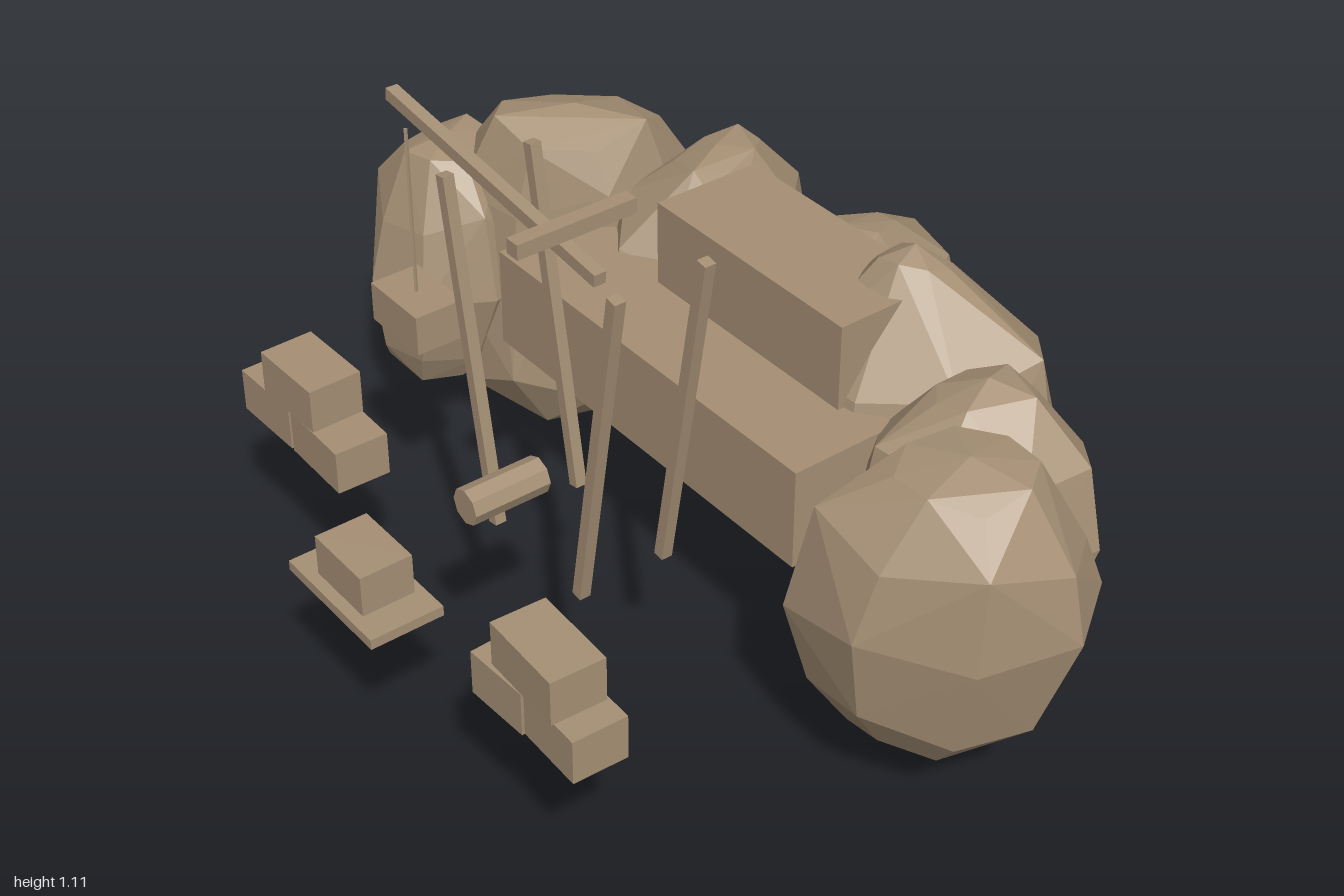
import * as THREE from 'three';
import { ConvexGeometry } from 'three/addons/geometries/ConvexGeometry.js';

const stone = new THREE.MeshStandardMaterial({ color: 0xa69075, flatShading: true, side: THREE.DoubleSide });
stone.name = 'warm stone';

function add(group, geometry, name) {
  const mesh = new THREE.Mesh(geometry, stone);
  mesh.name = name;
  group.add(mesh);
  return mesh;
}

// Box given by its limits on each axis; open ones have no bottom face
function block(group, name, [x0, x1], [y0, y1], [z0, z1], yaw = 0, open = true) {
  const g = new THREE.BoxGeometry(x1 - x0, y1 - y0, z1 - z0);
  if (open) {
    const index = Array.from(g.index.array);
    index.splice(18, 6);
    g.setIndex(index);
    g.clearGroups();
  }
  const mesh = add(group, g, name);
  mesh.position.set((x0 + x1) / 2, (y0 + y1) / 2, (z0 + z1) / 2);
  mesh.rotation.y = yaw;
}

// Square timber between two points
function timber(group, name, a, b, width) {
  const from = new THREE.Vector3(...a), to = new THREE.Vector3(...b);
  const dir = to.clone().sub(from);
  const mesh = add(group, new THREE.BoxGeometry(width, dir.length(), width), name);
  mesh.position.copy(from).add(to).multiplyScalar(0.5);
  mesh.quaternion.setFromUnitVectors(new THREE.Vector3(0, 1, 0), dir.normalize());
}

// Repeatable value from 0 to 1
function noise(n) {
  const s = Math.sin(n * 12.9898) * 43758.5453;
  return s - Math.floor(s);
}

// Turned, stretched octagon scaled to unit half-widths, the plan of a boulder
function outline(yaw, length) {
  const points = Array.from({ length: 8 }, (_, i) => {
    const a = (i + 0.5) * Math.PI / 4;
    return new THREE.Vector2(Math.cos(a) * length, Math.sin(a)).rotateAround(new THREE.Vector2(), -yaw);
  });
  const width = Math.max(...points.map(p => p.x)), depth = Math.max(...points.map(p => p.y));
  return points.map(p => p.set(p.x / width, p.y / depth));
}

// Faceted boulder: hull of uneven rings between the bottom and top points
function boulder(group, name, seed, { xs, zs, bottom, top, yaw, length, ends }) {
  const plan = outline(yaw, length);
  const low = new THREE.Vector3(...bottom), high = new THREE.Vector3(...top);
  const middle = new THREE.Vector3((xs[0] + xs[1]) / 2, 0, (zs[0] + zs[1]) / 2);
  const points = [low, high];
  [[0, ends[0]], [0.19, 0.8], [0.47, 1], [0.76, 0.86], [1, ends[1]]].forEach(([t, scale], ring) => {
    const center = middle.clone().lerp(t < 0.47 ? low : high, Math.abs(t - 0.47) / (t < 0.47 ? 0.47 : 0.53));
    plan.forEach((p, i) => {
      const n = noise(seed * 50 + ring * 9 + i);
      const s = scale * (ring === 2 ? 1 : 0.93 + 0.1 * n);
      const shift = ring === 0 ? 0.1 * n : ring === 4 ? -0.08 * n : 0.14 * (n - 0.5);
      points.push(new THREE.Vector3(
        center.x + p.x * s * (xs[1] - xs[0]) / 2,
        low.y + (t + shift) * (high.y - low.y),
        center.z + p.y * s * (zs[1] - zs[0]) / 2));
    });
  });
  add(group, new ConvexGeometry(points), name);
}

export function createModel() {
  const model = new THREE.Group();
  model.name = 'quarry';

  // Curved wall of boulders, from the model's right to its left
  const rocks = new THREE.Group();
  rocks.name = 'boulders';
  model.add(rocks);
  [
    { xs: [-1, -0.61], zs: [-0.27, 0.14], bottom: [-0.83, 0.155, -0.02], top: [-0.82, 0.725, -0.06], yaw: 0.2, length: 1.05, ends: [0.6, 0.5] },
    { xs: [-0.89, -0.41], zs: [-0.54, 0], bottom: [-0.59, 0.065, -0.18], top: [-0.62, 0.82, -0.25], yaw: 0.8, length: 1.45, ends: [0.25, 0.6] },
    { xs: [-0.54, -0.19], zs: [-0.69, -0.11], bottom: [-0.31, 0.15, -0.4], top: [-0.355, 0.78, -0.42], yaw: -1.3, length: 1.5, ends: [0.4, 0.42] },
    { xs: [-0.2, 0.14], zs: [-0.78, -0.13], bottom: [-0.07, 0.165, -0.45], top: [-0.03, 0.72, -0.48], yaw: 0, length: 1, ends: [0.55, 0.4] },
    { xs: [0.05, 0.6], zs: [-0.64, -0.12], bottom: [0.28, 0, -0.4], top: [0.285, 0.87, -0.39], yaw: 0.75, length: 1.25, ends: [0.25, 0.25] },
    { xs: [0.37, 0.8], zs: [-0.52, -0.09], bottom: [0.6, 0.11, -0.26], top: [0.57, 0.75, -0.32], yaw: 0.8, length: 1.25, ends: [0.3, 0.4] },
    { xs: [0.45, 1], zs: [-0.33, 0.16], bottom: [0.72, 0.14, -0.06], top: [0.76, 0.79, -0.09], yaw: 0.6, length: 1.25, ends: [0.5, 0.45] },
  ].forEach((rock, i) => boulder(rocks, 'boulder' + (i + 1), i + 1, rock));

  // Stepped quarry face
  block(model, 'lowerLedge', [-0.51, 0.44], [0.39, 0.612], [-0.22, 0.027]);
  block(model, 'upperLedge', [-0.22, 0.338], [0.612, 0.8], [-0.412, -0.163]);

  // Hoist: two leaning pairs of poles, crossbar, sloping arm, drum, rope and load
  const hoist = new THREE.Group();
  hoist.name = 'hoist';
  model.add(hoist);
  for (const z of [0.194, 0.385]) {
    for (const side of [-1, 1]) {
      timber(hoist, 'pole', [0.124 + side * 0.136, 0.39, z], [0.124 + side * 0.256, 1.107, z], 0.024);
    }
  }
  block(hoist, 'crossbar', [0.108, 0.14], [1.074, 1.105], [0.16, 0.418], 0, false);
  timber(hoist, 'arm', [-0.462, 1.097, 0.287], [0.2, 1.015, 0.287], 0.026);
  const drum = add(hoist, new THREE.CylinderGeometry(0.037, 0.037, 0.165, 8), 'drum');
  drum.rotation.x = Math.PI / 2;
  drum.position.set(0.124, 0.585, 0.46);
  const rope = add(hoist, new THREE.CylinderGeometry(0.004, 0.004, 0.37, 5), 'rope');
  rope.position.set(-0.42, 0.85, 0.287);
  block(hoist, 'hangingStone', [-0.5, -0.337], [0.58, 0.667], [0.232, 0.342], 0, false);

  // Piles of cut stone
  const piles = new THREE.Group();
  piles.name = 'stonePiles';
  model.add(piles);
  block(piles, 'rightPileStone', [-0.63, -0.455], [0.39, 0.485], [0.464, 0.58], 0.02);
  block(piles, 'rightPileStone', [-0.445, -0.27], [0.39, 0.485], [0.464, 0.58], -0.02);
  block(piles, 'rightPileTop', [-0.538, -0.36], [0.485, 0.58], [0.464, 0.58], 0.02);
  block(piles, 'leftPileStone', [0.356, 0.5], [0.39, 0.485], [0.578, 0.692], 0.04);
  block(piles, 'leftPileStone', [0.5, 0.655], [0.39, 0.485], [0.572, 0.686], -0.04);
  block(piles, 'leftPileTop', [0.41, 0.6], [0.485, 0.58], [0.574, 0.688], -0.05);

  // Sledge with one stone on it
  block(piles, 'sledge', [-0.13, 0.155], [0.39, 0.412], [0.62, 0.777]);
  block(piles, 'sledgeStone', [-0.065, 0.09], [0.412, 0.5], [0.64, 0.752]);
  return model;
}
